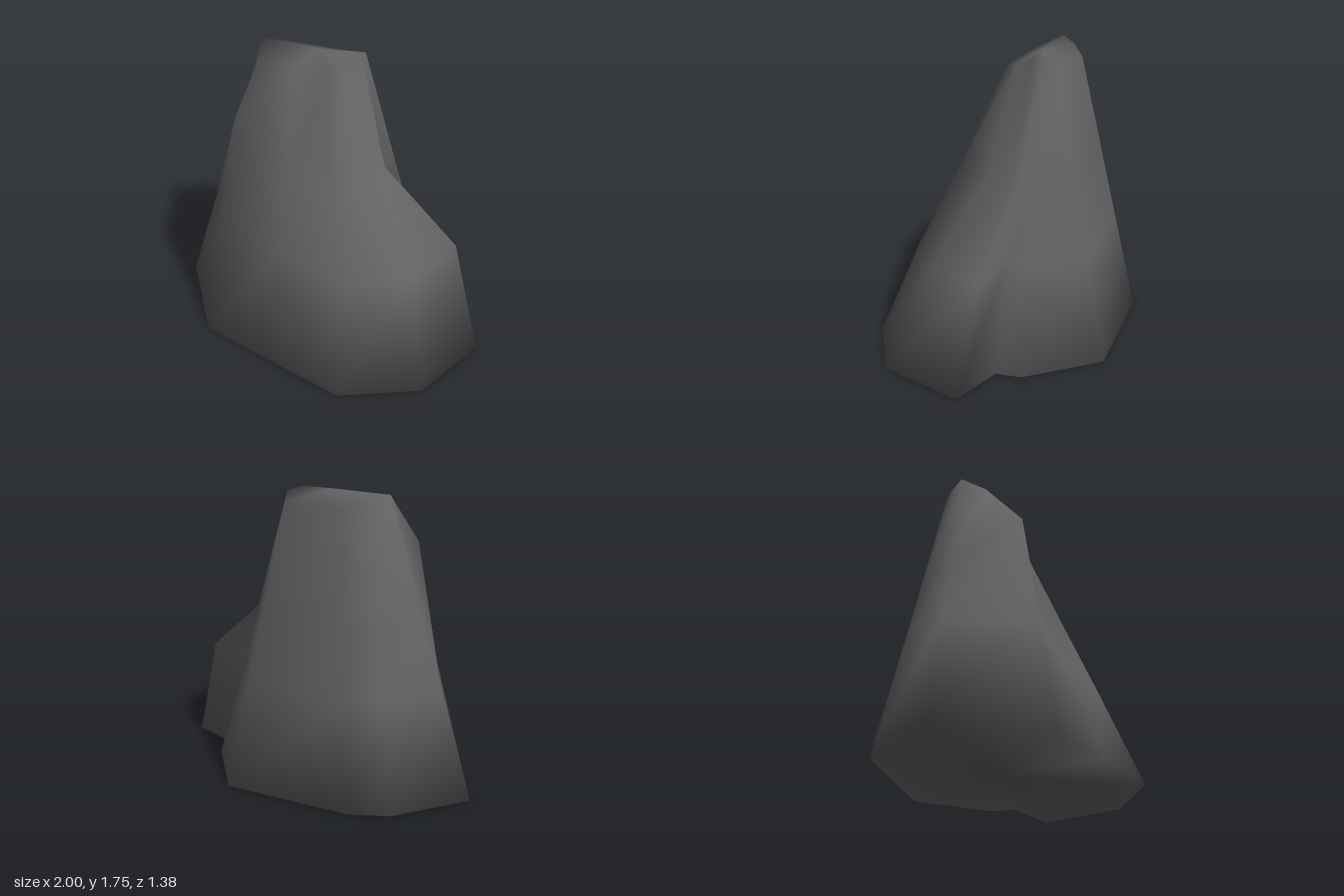
import * as THREE from 'three';

export function createModel() {
  const stone = new THREE.MeshStandardMaterial({ color: 0x636363 });
  stone.name = 'dark grey stone';

  // Point on the straight line between a foot and a crest
  const mix = (a, b, t) => a.map((v, i) => v + (b[i] - v) * t);
  // A column of the rock: foot, lower and upper waist, crest
  const column = (foot, crest, lower, upper) => [
    foot,
    lower ?? mix(foot, upper ?? crest, upper ? 0.5 : 0.37),
    upper ?? mix(foot, crest, 0.62),
    crest,
  ];

  // Columns run from the left tip along the front, around the low shoulder and the back
  const columns = [
    column([-1, 0, 0.08], [-0.47, 1.75, -0.03]),
    column([-0.5, 0, 0.58], [-0.4, 1.68, 0.1], null, [-0.4, 1.41, 0.34]), // front ridge
    column([0, 0, 0.635], [-0.15, 1.69, 0.07]),
    column([0.53, 0, 0.69], [0.06, 1.68, 0.05], [0.44, 0.6, 0.45]),
    column([0.92, 0, 0.38], [0.08, 1.71, -0.03], [0.72, 0.6, 0.18], [0.28, 1.07, 0.06]),
    column([1, 0, -0.16], [0.09, 1.75, -0.14], [0.8, 0.65, -0.2], [0.33, 1.07, -0.14]), // low shoulder
    column([0.65, 0, -0.21], [0.12, 1.74, -0.19], [0.46, 0.65, -0.19], [0.31, 1.06, -0.17]), // notch
    column([0.61, 0, -0.36], [0.13, 1.73, -0.23]),
    column([0.21, 0, -0.69], [0.08, 1.68, -0.31]),
    column([-0.57, 0, -0.52], [-0.3, 1.68, -0.25]),
    column([-0.77, 0, -0.38], [-0.41, 1.72, -0.14]),
  ];

  const levels = 4;
  const n = columns.length;
  const points = columns.flat();
  const crown = points.push([-0.1, 1.75, -0.09]) - 1;
  const underside = points.push([0, 0, 0]) - 1;

  const index = [];
  for (let i = 0; i < n; i++) {
    const a = i * levels;
    const b = ((i + 1) % n) * levels;
    // Walls
    for (let k = 0; k < levels - 1; k++) {
      index.push(a + k, b + k, b + k + 1, a + k, b + k + 1, a + k + 1);
    }
    // Crown and underside
    index.push(a + levels - 1, b + levels - 1, crown);
    index.push(b, a, underside);
  }

  const geometry = new THREE.BufferGeometry();
  geometry.setAttribute('position', new THREE.Float32BufferAttribute(points.flat(), 3));
  geometry.setIndex(index);
  geometry.computeVertexNormals();

  const rock = new THREE.Mesh(geometry, stone);
  rock.name = 'rock';
  const group = new THREE.Group();
  group.name = 'boulder';
  group.add(rock);
  return group;
}
